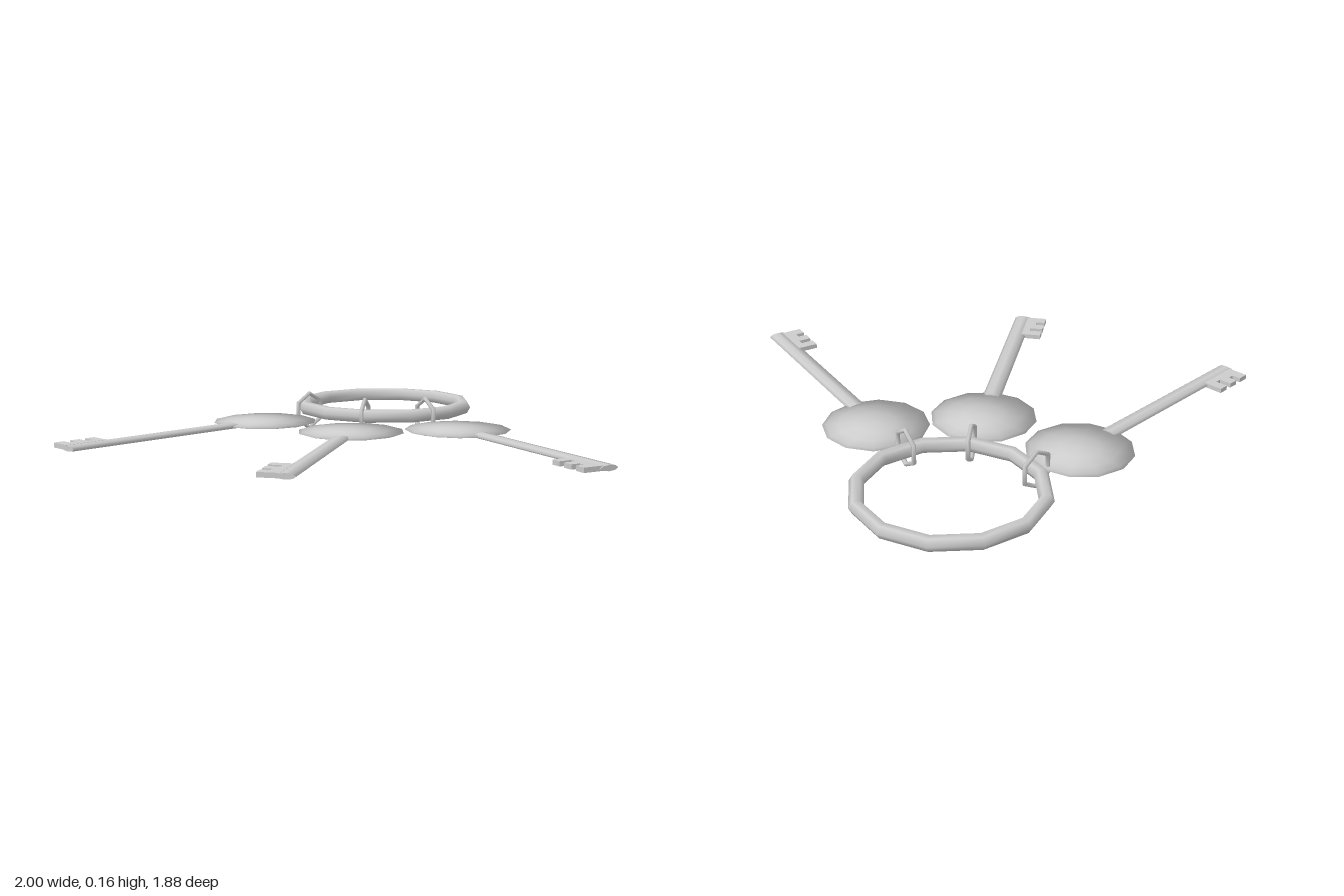
import * as THREE from 'three';

const material = new THREE.MeshStandardMaterial({ color: 0xcccccc, side: THREE.DoubleSide });
const HALF_THICK = 0.011;

function part(name, geometry) {
  const mesh = new THREE.Mesh(geometry, material);
  mesh.name = name;
  return mesh;
}

// Squash positions in y but keep the round shading normals
function flatten(geometry, halfHeight) {
  const p = geometry.attributes.position;
  geometry.computeBoundingBox();
  const k = halfHeight / geometry.boundingBox.max.y;
  for (let i = 0; i < p.count; i++) p.setY(i, p.getY(i) * k);
  geometry.computeBoundingBox();
  geometry.computeBoundingSphere();
  return geometry;
}

// One key with its link; the head is at the origin and the shaft runs along +z
function makeKey(name) {
  const key = new THREE.Group();
  key.name = name;

  key.add(part('keyHead', flatten(new THREE.SphereGeometry(0.205, 12, 8), HALF_THICK)));

  const shaft = new THREE.CylinderGeometry(0.036, 0.036, 0.76, 8);
  shaft.rotateX(Math.PI / 2);
  const shaftMesh = part('keyShaft', flatten(shaft, HALF_THICK));
  shaftMesh.position.z = 0.545;
  key.add(shaftMesh);

  // Teeth: a notched comb beside the shaft tip
  const outline = [
    [0.02, 0.745], [0.1, 0.745], [0.1, 0.785], [0.05, 0.785], [0.05, 0.81],
    [0.1, 0.81], [0.1, 0.85], [0.065, 0.85], [0.065, 0.875],
    [0.1, 0.875], [0.1, 0.918], [0.02, 0.918],
  ];
  const comb = new THREE.Shape(outline.map(([x, z]) => new THREE.Vector2(-x, z)));
  const teeth = new THREE.ExtrudeGeometry(comb, { depth: 0.018, bevelEnabled: false });
  teeth.translate(0, 0, -0.009).rotateX(Math.PI / 2);
  key.add(part('keyTeeth', teeth));

  // Upright six-sided link joining the head to the ring
  const link = new THREE.TorusGeometry(0.071, 0.009, 6, 6);
  link.rotateZ(Math.PI / 2).rotateY(Math.PI / 2);
  const linkMesh = part('link', link);
  linkMesh.position.set(0, 0.018, -0.24);
  key.add(linkMesh);
  return key;
}

export function createModel() {
  const model = new THREE.Group();
  model.name = 'keyRing';

  // Twelve-sided main ring
  const ring = part('mainRing', new THREE.TorusGeometry(0.338, 0.028, 6, 12).rotateX(Math.PI / 2));
  ring.position.set(-0.03, 0.087, -0.58);
  model.add(ring);

  // Three fanned keys: name, head x, head z, turn about y
  const keys = [
    ['rightKey', -0.428, -0.168, -0.57],
    ['middleKey', -0.033, 0.013, 0],
    ['leftKey', 0.355, -0.13, 0.728],
  ];
  for (const [name, x, z, turn] of keys) {
    const key = makeKey(name);
    key.position.set(x, 0.066, z);
    key.rotation.y = turn;
    model.add(key);
  }
  return model;
}
